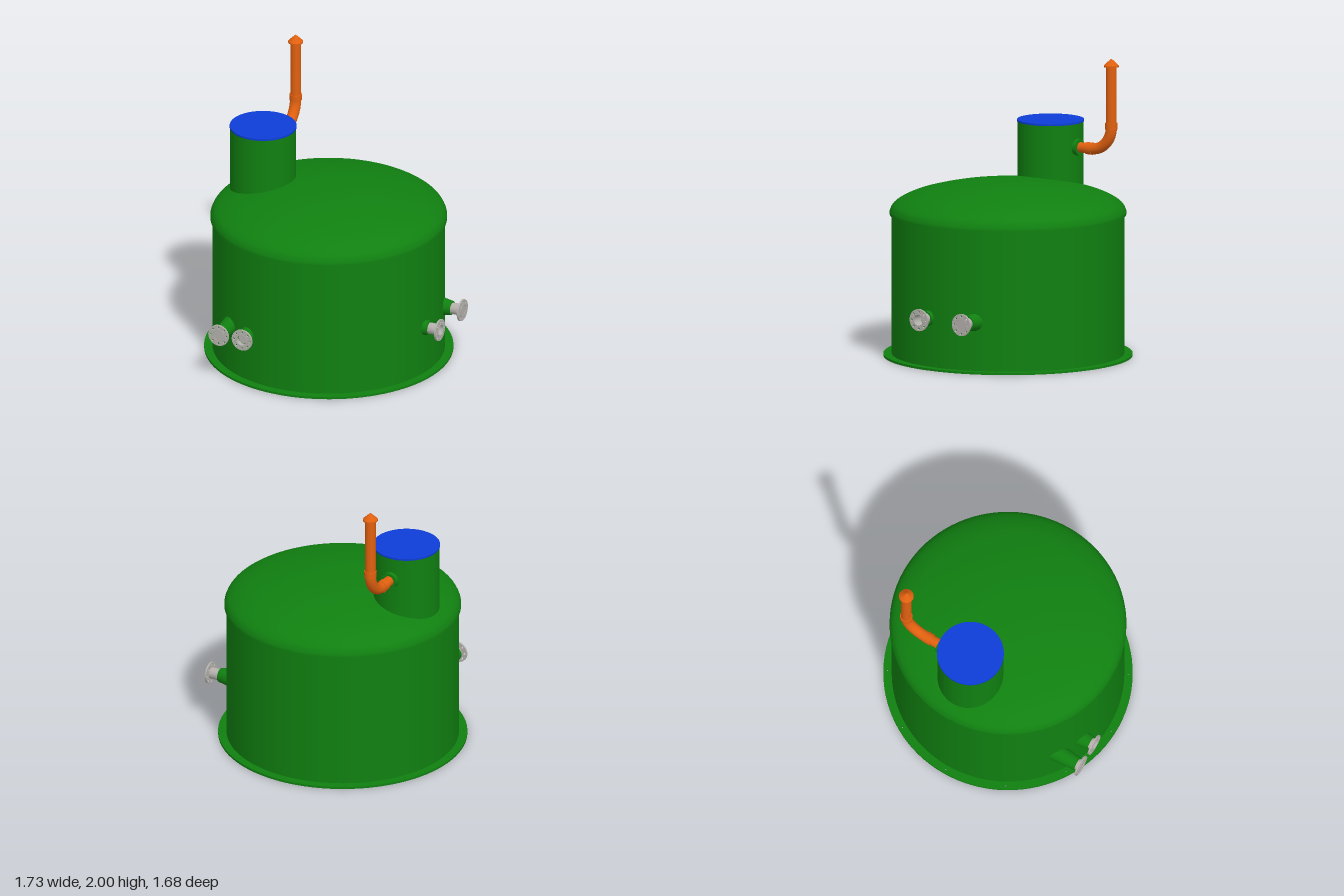
import * as THREE from 'three';

const mat = (name, color, side = THREE.FrontSide) => {
  const m = new THREE.MeshStandardMaterial({ color, side });
  m.name = name;
  return m;
};

export function createModel() {
  const model = new THREE.Group();
  model.name = 'storageTank';
  const green = mat('tank green', 0x108010);
  const blue = mat('lid blue', 0x0d3dd6);
  const orange = mat('vent orange', 0xe0600f);
  const grey = mat('flange grey', 0xb4b1ac, THREE.DoubleSide);

  const add = (parent, name, geometry, material, x = 0, y = 0, z = 0) => {
    const mesh = new THREE.Mesh(geometry, material);
    mesh.name = name;
    mesh.position.set(x, y, z);
    parent.add(mesh);
    return mesh;
  };
  // Upright cylinder or cone between two heights
  const upright = (parent, name, rBottom, rTop, y0, y1, material, x = 0, z = 0, seg = 32) =>
    add(parent, name, new THREE.CylinderGeometry(rTop, rBottom, y1 - y0, seg), material, x, (y0 + y1) / 2, z);
  // Cylinder or cone along z
  const alongZ = (parent, name, r0, r1, z0, z1, material, x = 0, y = 0) => {
    const g = new THREE.CylinderGeometry(r1, r0, z1 - z0, 32).rotateX(Math.PI / 2);
    return add(parent, name, g, material, x, y, (z0 + z1) / 2);
  };
  // Flat disc with a ring of bolt holes and an optional bore
  const drilledPlate = (radius, bore, boltCircle, boltRadius, count, depth, seg) => {
    const shape = new THREE.Shape().absarc(0, 0, radius, 0, Math.PI * 2);
    if (bore) shape.holes.push(new THREE.Path().absarc(0, 0, bore, 0, Math.PI * 2, true));
    for (let i = 0; i < count; i++) {
      const a = (i / count) * Math.PI * 2;
      shape.holes.push(new THREE.Path().absarc(
        Math.cos(a) * boltCircle, Math.sin(a) * boltCircle, boltRadius, 0, Math.PI * 2, true));
    }
    return new THREE.ExtrudeGeometry(shape, { depth, bevelEnabled: false, curveSegments: seg });
  };

  // Tank body with drilled foot flange
  const tank = new THREE.Group();
  tank.name = 'tank';
  tank.position.x = -0.027;
  model.add(tank);
  add(tank, 'footFlange', drilledPlate(0.838, 0, 0.81, 0.006, 12, 0.015, 48).rotateX(-Math.PI / 2), green);
  upright(tank, 'tankWall', 0.782, 0.782, 0.005, 0.97, green, 0, 0, 96);
  upright(tank, 'domeLip', 0.795, 0.795, 0.96, 0.972, green, 0, 0, 96);

  // Shallow dome with a rounded shoulder
  const domeCurve = new THREE.SplineCurve([
    [0.796, 0.962], [0.793, 0.99], [0.768, 1.03], [0.705, 1.07], [0.6, 1.11],
    [0.4, 1.156], [0.2, 1.182], [0, 1.19],
  ].map(([r, y]) => new THREE.Vector2(r, y)));
  const domePoints = domeCurve.getPoints(40);
  domePoints[40].x = 0;
  add(tank, 'dome', new THREE.LatheGeometry(domePoints, 96), green);

  // Access shaft and lid
  const sx = -0.517;
  upright(model, 'accessShaft', 0.222, 0.222, 1.0, 1.532, green, sx, 0, 64);
  upright(model, 'accessLid', 0.225, 0.225, 1.53, 1.543, blue, sx, 0, 64);

  // Vent pipe: horizontal run, elbow, riser
  const vent = new THREE.Group();
  vent.name = 'ventPipe';
  vent.position.x = sx;
  model.add(vent);
  const py = 1.373, pz = -0.503, bend = 0.16, k = 0.5523;
  const v = (y, z) => new THREE.Vector3(0, y, z);
  alongZ(vent, 'ventSocket', 0.054, 0.06, -0.245, -0.2, green, 0, py);
  alongZ(vent, 'horizontalPipe', 0.035, 0.035, -0.35, -0.21, orange, 0, py);
  alongZ(vent, 'lowerSleeve', 0.041, 0.041, -0.352, -0.302, orange, 0, py);
  const elbow = new THREE.CubicBezierCurve3(
    v(py, pz + bend), v(py, pz + bend * (1 - k)), v(py + bend * (1 - k), pz), v(py + bend, pz));
  add(vent, 'elbow', new THREE.TubeGeometry(elbow, 24, 0.038, 28), orange);
  upright(vent, 'upperSleeve', 0.042, 0.042, py + bend - 0.012, py + bend + 0.03, orange, 0, pz);
  upright(vent, 'riser', 0.036, 0.036, py + bend, 1.955, orange, 0, pz);
  upright(vent, 'rainCapRim', 0.05, 0.05, 1.945, 1.955, orange, 0, pz);
  upright(vent, 'rainCap', 0.05, 0.003, 1.955, 2.0, orange, 0, pz);

  // Flanged nozzle pointing along local +z, its face at z = 0
  const nozzle = (name, collarEnd, collarStart, blind) => {
    const n = new THREE.Group();
    n.name = name;
    alongZ(n, 'collar', 0.064, 0.048, collarStart, collarEnd, green);
    const tube = [[0.039, collarEnd - 0.02], [0.039, -0.008]].map(([r, y]) => new THREE.Vector2(r, y));
    add(n, 'pipe', new THREE.LatheGeometry(tube, 32).rotateX(Math.PI / 2), grey);
    add(n, 'flange', drilledPlate(0.075, 0.036, 0.059, 0.008, 8, 0.012, 24), grey, 0, 0, -0.015);
    add(n, 'raisedFace', drilledPlate(0.045, 0.036, 0, 0, 0, 0.004, 24), grey, 0, 0, -0.004);
    if (blind) alongZ(n, 'blindDisc', 0.036, 0.036, -0.014, -0.003, grey);
    else alongZ(n, 'pipeStop', 0.036, 0.036, collarEnd - 0.01, collarEnd + 0.002, grey);
    model.add(n);
    return n;
  };
  const ny = 0.345;
  nozzle('frontNozzleOuter', -0.035, -0.23, true).position.set(-0.45, ny, 0.835);
  nozzle('frontNozzleInner', -0.035, -0.15, false).position.set(-0.275, ny, 0.835);
  [['sideNozzleFront', 0.105, false], ['sideNozzleBack', -0.245, true]].forEach(([name, z, blind]) => {
    const n = nozzle(name, -0.083, -0.18, blind);
    n.position.set(0.86, ny, z);
    n.rotation.y = Math.PI / 2;
  });

  return model;
}
